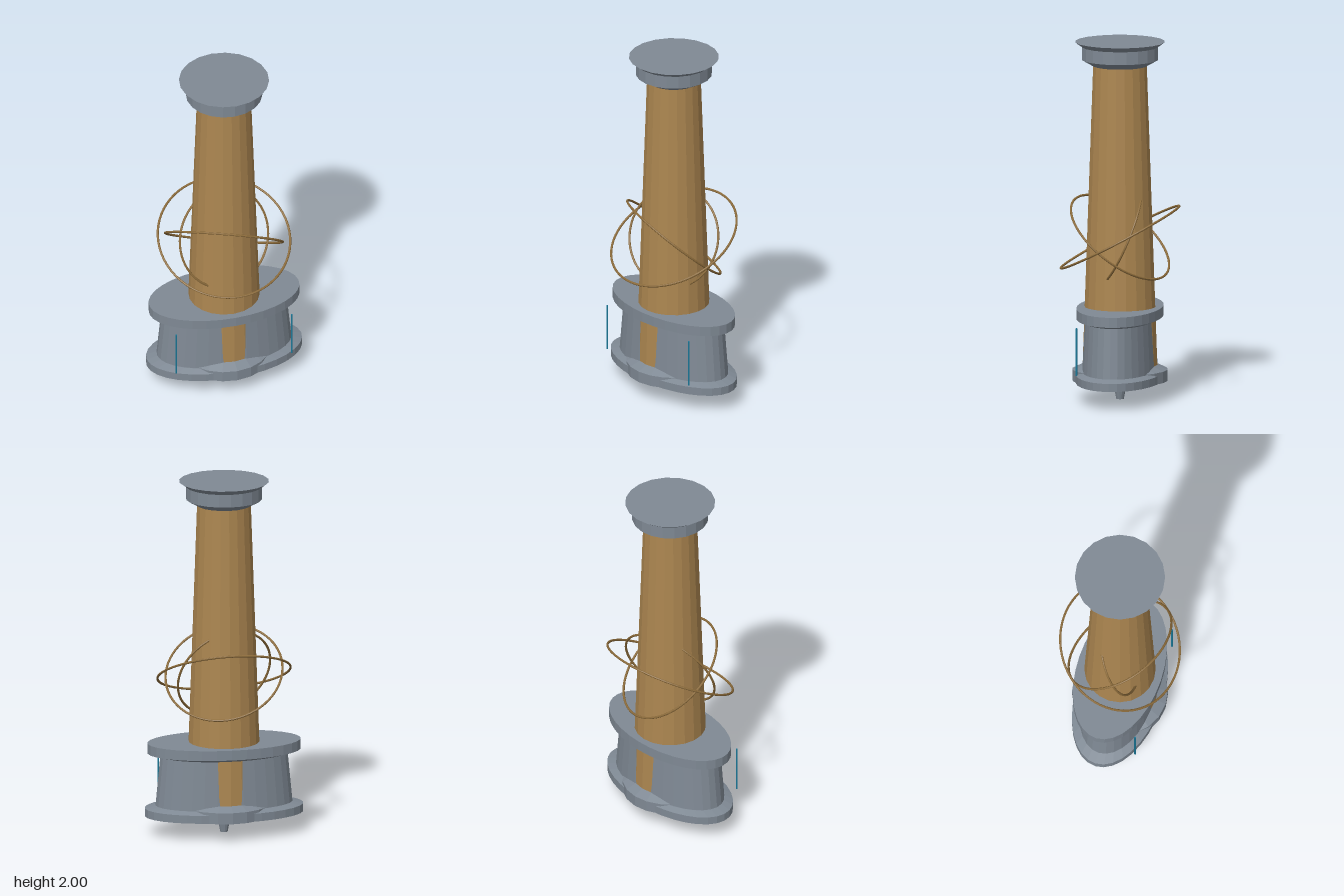
import * as THREE from 'three';

const flat = (name, color) => {
  const m = new THREE.MeshStandardMaterial({ color, flatShading: true });
  m.name = name;
  return m;
};

export function createModel() {
  const steel = flat('steel grey', 0x7f8994);
  const bronze = flat('bronze', 0xac8650);
  const darkBronze = flat('dark bronze', 0x8a6a3a);
  const blue = flat('glow blue', 0x1a7898);

  const model = new THREE.Group();
  model.name = 'columnDevice';

  const add = (name, geometry, material) => {
    const mesh = new THREE.Mesh(geometry, material);
    mesh.name = name;
    model.add(mesh);
    return mesh;
  };

  // Turned part from [radius, height] pairs, bottom to top; depth squashes it to an oval
  const turned = (name, profile, material, sides = 20, depth = 1) => {
    const points = profile.map(([r, y]) => new THREE.Vector2(r, y));
    const geometry = new THREE.LatheGeometry(points, sides);
    geometry.scale(1, 1, depth);
    return add(name, geometry, material);
  };

  // Oval base
  turned('basePlate', [[0, 0.105], [0.445, 0.105], [0.445, 0.15], [0.385, 0.165], [0, 0.165]], steel, 32, 0.54);
  turned('baseHub', [[0, 0.105], [0.265, 0.105], [0.265, 0.168], [0.2, 0.198], [0, 0.198]], steel);
  turned('baseBody', [[0.386, 0.155], [0.357, 0.455]], steel, 32, 0.53);
  turned('upperPlate', [[0, 0.445], [0.36, 0.445], [0.43, 0.462], [0.43, 0.518], [0, 0.518]], steel, 32, 0.55);

  // Spike under the base
  turned('spike', [[0, 0], [0.021, 0], [0.031, 0.05], [0.024, 0.07], [0.028, 0.08], [0.044, 0.09], [0.044, 0.106]], steel, 12);

  // Tapered column, just breaking through the front and back of the base body
  turned('column', [[0.209, 0.19], [0.15, 1.87]], bronze);

  // Flared cap
  turned('cap', [[0, 1.865], [0.15, 1.865], [0.212, 1.9], [0.212, 1.972], [0.218, 1.977], [0.25, 2], [0, 2]], steel);

  // Three tilted rings around the column: radius and axis direction
  [
    ['outerRing', 0.37, [0, 0.88, 0.467]],
    ['middleRing', 0.327, [0.255, 0.76, -0.6]],
    ['innerRing', 0.28, [0.25, 0.4, 0.88]],
  ].forEach(([name, radius, axis]) => {
    const ring = add(name, new THREE.TorusGeometry(radius, 0.0065, 8, 64), darkBronze);
    ring.position.y = 0.905;
    ring.quaternion.setFromUnitVectors(new THREE.Vector3(0, 0, 1), new THREE.Vector3(...axis).normalize());
  });

  // Thin rods beside the base
  for (const side of [-1, 1]) {
    const rod = add(side > 0 ? 'leftRod' : 'rightRod', new THREE.CylinderGeometry(0.005, 0.005, 0.265, 8), blue);
    rod.position.set(side * 0.333, 0.308, 0.195);
  }

  return model;
}
